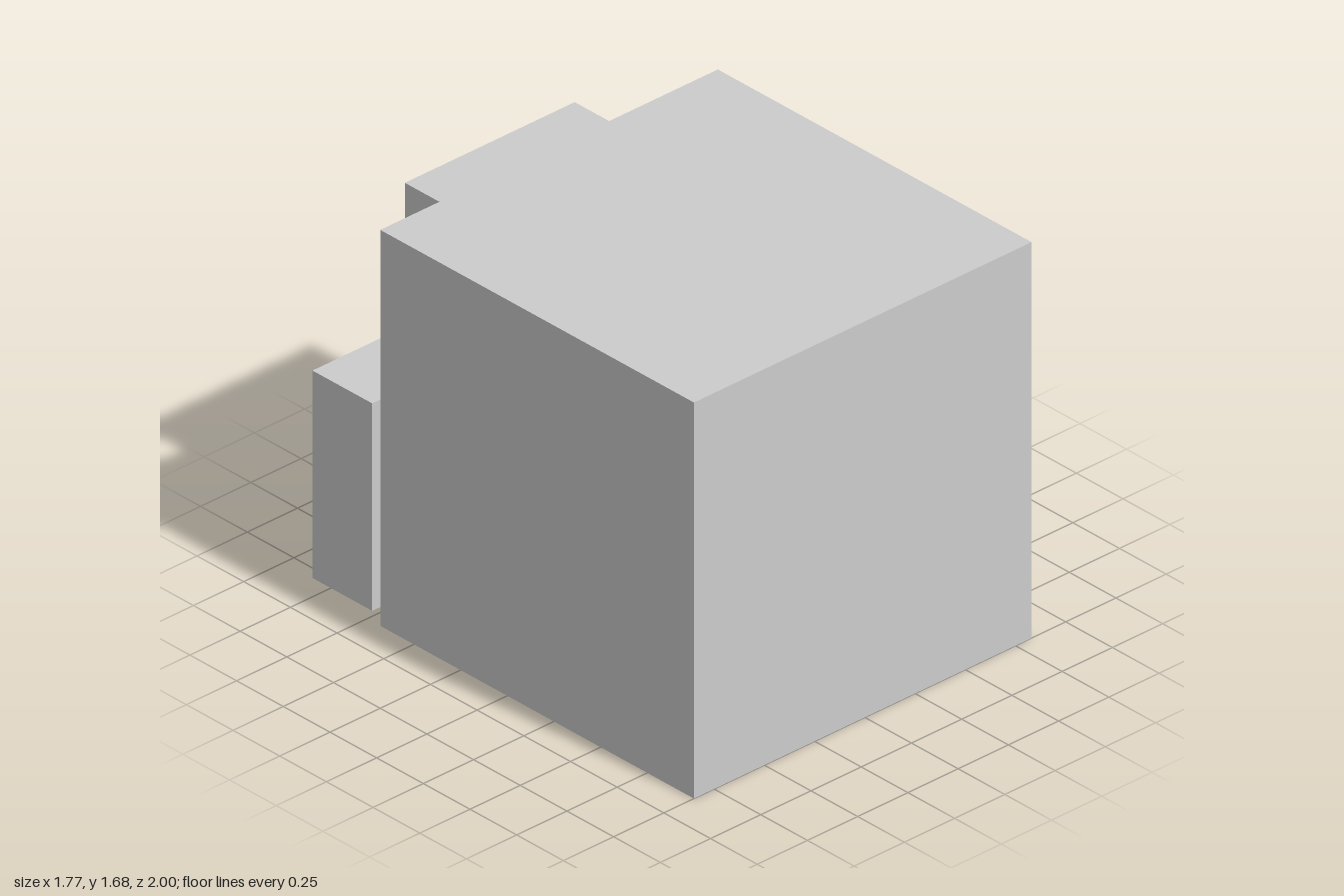
import * as THREE from 'three';

const material = new THREE.MeshStandardMaterial({ color: 0xcccccc, flatShading: true });

// Outer body and inner room, as [min, max] ranges
const BODY = { x: [-0.85, 0.83], y: [0, 1.68] };
const ROOM = { x: [-0.79, 0.77], y: [0.066, 1.61] };
const DOOR = { x: [-0.43, 0.415], y: [0.066, 1.27] };
const Z = { back: -0.68, roomBack: -0.535, roomFront: 0.82, front: 1 };

function rectPath(PathType, { x, y }) {
  return new PathType([
    new THREE.Vector2(x[0], y[0]),
    new THREE.Vector2(x[1], y[0]),
    new THREE.Vector2(x[1], y[1]),
    new THREE.Vector2(x[0], y[1]),
  ]);
}

// A rectangular slab between two depths, optionally with a rectangular hole
function slab(name, rect, z0, z1, hole) {
  const shape = rectPath(THREE.Shape, rect);
  if (hole) shape.holes.push(rectPath(THREE.Path, hole));
  const geometry = new THREE.ExtrudeGeometry(shape, { depth: z1 - z0, bevelEnabled: false });
  geometry.translate(0, 0, z0);
  const mesh = new THREE.Mesh(geometry, material);
  mesh.name = name;
  return mesh;
}

export function createModel() {
  const model = new THREE.Group();
  model.name = 'hollowCubeHouse';

  // Hollow shell: doorway wall, floor/sides/ceiling sleeve, solid front wall
  const shell = new THREE.Group();
  shell.name = 'shell';
  shell.add(
    slab('doorwayWall', BODY, Z.back, Z.roomBack, DOOR),
    slab('roomSleeve', BODY, Z.roomBack, Z.roomFront, ROOM),
    slab('frontWall', BODY, Z.roomFront, Z.front),
  );
  model.add(shell);

  // Blocks standing out around the doorway
  model.add(
    slab('leftDoorBlock', { x: [0.46, 0.885], y: [0.08, 0.96] }, -1, Z.back),
    slab('rightDoorBlock', { x: [-0.89, -0.47], y: [0.08, 0.96] }, -1, Z.back),
    slab('lintelBlock', { x: DOOR.x, y: [1.27, 1.57] }, -1, Z.back),
  );
  return model;
}
